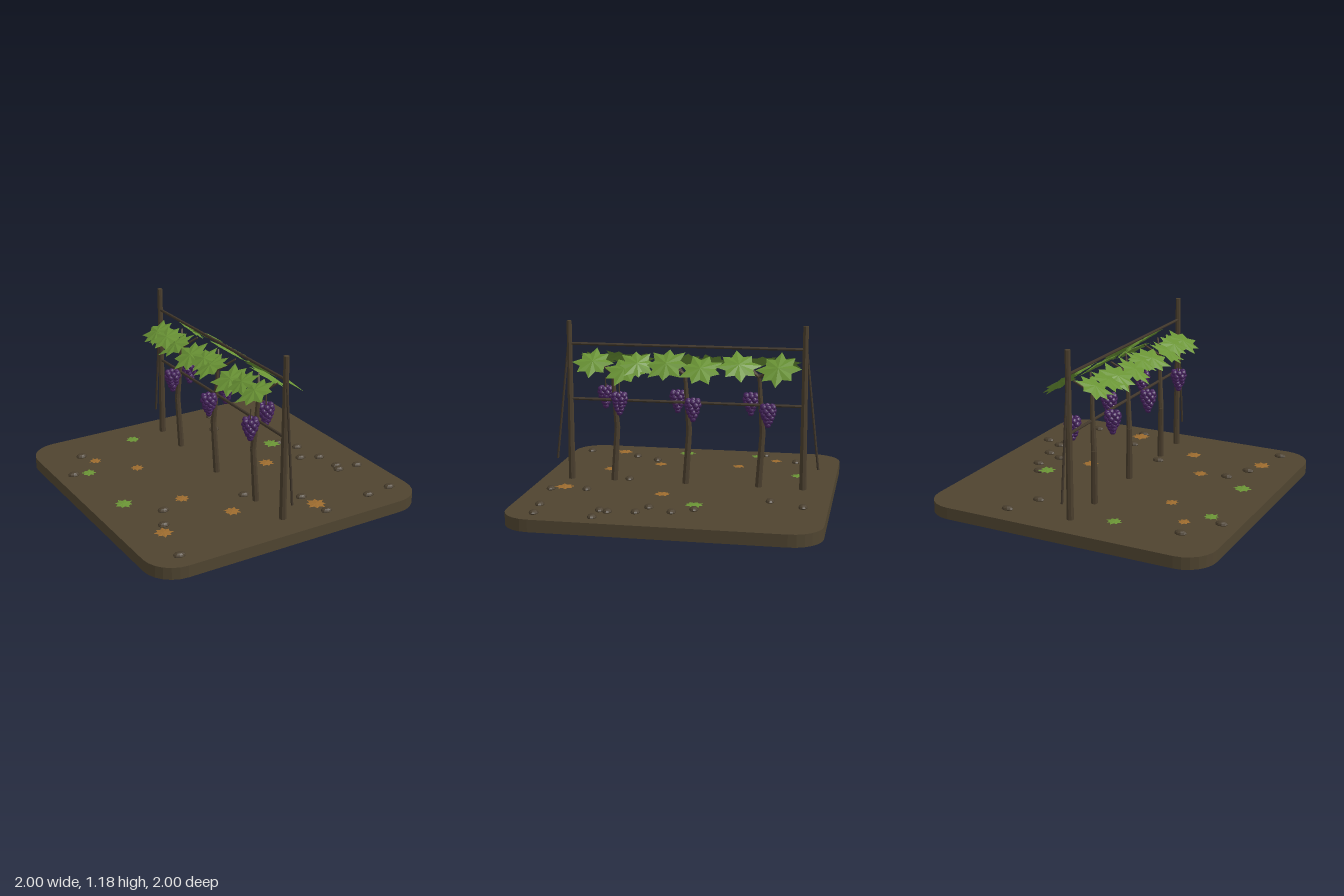
import * as THREE from 'three';

const flat = (name, color) => {
  const m = new THREE.MeshStandardMaterial({ color, flatShading: true });
  m.name = name;
  return m;
};

export function createModel() {
  const soil = flat('soil', 0x4f4430);
  const stone = flat('stone', 0x4a3f2e);
  const wood = flat('wood', 0x4a3e2d);
  const wireMat = flat('wire', 0x40362a);
  const green = flat('leafGreen', 0x6a9435);
  const amber = flat('leafAmber', 0x9c6b2e);
  const purple = flat('grapePurple', 0x45225c);
  green.side = amber.side = THREE.DoubleSide;

  const model = new THREE.Group();
  model.name = 'grapeTrellis';

  const add = (geo, mat, name, x = 0, y = 0, z = 0, parent = model) => {
    const mesh = new THREE.Mesh(geo, mat);
    mesh.name = name;
    mesh.position.set(x, y, z);
    parent.add(mesh);
    return mesh;
  };

  // straight tapered rod between two points
  const rod = (a, b, r0, r1, mat, name, parent = model) => {
    const p = new THREE.Vector3(...a), q = new THREE.Vector3(...b);
    const d = q.clone().sub(p);
    const mesh = add(new THREE.CylinderGeometry(r1, r0, d.length(), 8), mat, name, 0, 0, 0, parent);
    mesh.position.copy(p).add(q).multiplyScalar(0.5);
    mesh.quaternion.setFromUnitVectors(new THREE.Vector3(0, 1, 0), d.normalize());
    return mesh;
  };

  // ground slab with rounded corners
  const slab = new THREE.Shape();
  slab.absarc(0.8, 0.8, 0.2, 0, Math.PI / 2);
  slab.absarc(-0.8, 0.8, 0.2, Math.PI / 2, Math.PI);
  slab.absarc(-0.8, -0.8, 0.2, Math.PI, Math.PI * 1.5);
  slab.absarc(0.8, -0.8, 0.2, Math.PI * 1.5, Math.PI * 2);
  const slabGeo = new THREE.ExtrudeGeometry(slab, { depth: 0.08, bevelEnabled: false, curveSegments: 3 });
  add(slabGeo.rotateX(-Math.PI / 2), soil, 'ground');

  // end posts with leaning braces
  for (const s of [1, -1]) {
    rod([0, 0.08, s * 0.8], [0, 1.18, s * 0.8], 0.024, 0.018, wood, 'post');
    rod([0, 1.02, s * 0.81], [0, 0.22, s * 0.9], 0.008, 0.008, wireMat, 'brace');
  }

  // horizontal wires
  for (const y of [0.645, 1.025])
    rod([0, y, -0.8], [0, y, 0.8], 0.01, 0.01, wireMat, 'trellisWire');

  // vines: bent trunk and forked branches
  for (const z of [0.5, 0, -0.5]) {
    const vine = new THREE.Group();
    vine.name = 'vine';
    vine.position.z = z;
    model.add(vine);
    const path = [[-0.01, 0.08, 0], [-0.022, 0.45, -0.022], [-0.006, 0.68, -0.008], [0, 0.85, 0.002]];
    const radius = [0.023, 0.02, 0.016, 0.012];
    for (let i = 0; i < 3; i++)
      rod(path[i], path[i + 1], radius[i], radius[i + 1], wood, 'trunk', vine);
    for (const sx of [1, -1])
      for (const sz of [1, -1])
        rod([0, 0.83, 0], [sx * 0.07, 0.925, sz * 0.11], 0.01, 0.006, wood, 'branch', vine);
  }

  // star-shaped leaf: ridged fan around a raised centre
  const points = 8;
  const pos = [0, 0.12, 0], index = [];
  for (let i = 0; i < points * 2; i++) {
    const a = (i / points) * Math.PI;
    const r = i % 2 ? 0.64 : (i % 4 ? 0.92 : 1.04);
    pos.push(Math.cos(a) * r, 0, Math.sin(a) * r);
    index.push(0, ((i + 1) % (points * 2)) + 1, i + 1);
  }
  const leafGeo = new THREE.BufferGeometry();
  leafGeo.setAttribute('position', new THREE.Float32BufferAttribute(pos, 3));
  leafGeo.setIndex(index);
  leafGeo.computeVertexNormals();

  // canopy: sloping rows on both sides [x, y, z, radius]
  const canopy = [
    [0.14, 0.92, 0.6, 0.14], [0.15, 0.875, 0.38, 0.15], [0.13, 0.915, 0.3, 0.13],
    [0.14, 0.92, 0.1, 0.15], [0.15, 0.895, -0.13, 0.15], [0.14, 0.925, -0.38, 0.15],
    [0.14, 0.91, -0.64, 0.15],
    [-0.11, 0.91, 0.63, 0.14], [-0.11, 0.92, 0.48, 0.12], [-0.12, 0.9, 0.36, 0.14],
    [-0.12, 0.91, 0.11, 0.14], [-0.1, 0.92, 0, 0.12], [-0.12, 0.9, -0.15, 0.14],
    [-0.11, 0.91, -0.37, 0.14], [-0.11, 0.92, -0.5, 0.13], [-0.1, 0.915, -0.65, 0.13],
  ];
  canopy.forEach(([x, y, z, r], i) => {
    const leaf = add(leafGeo, green, 'canopyLeaf', x, y, z);
    leaf.scale.setScalar(r);
    leaf.rotation.set(0.14 * Math.sin(i * 2.3), i * 1.3, (x > 0 ? -0.62 : 0.5) + 0.07 * Math.sin(i * 1.7), 'ZXY');
  });

  // fallen leaves [x, z, radius]
  const scatter = (list, mat) => list.forEach(([x, z, r], i) => {
    const leaf = add(leafGeo, mat, 'fallenLeaf', x, 0.097, z);
    leaf.scale.set(r, r * 0.7, r);
    leaf.rotation.y = i * 1.1;
  });
  scatter([[-0.28, -0.74, 0.052], [-0.79, -0.4, 0.052], [0.55, -0.16, 0.066], [-0.79, 0.13, 0.064]], green);
  scatter([[-0.67, -0.55, 0.045], [-0.47, -0.3, 0.048], [0.34, 0.09, 0.058], [-0.43, 0.26, 0.052],
    [-0.75, 0.6, 0.063], [-0.24, 0.58, 0.058], [0.28, 0.77, 0.07]], amber);

  // grape bunches: tapering rings of berries
  const berryGeo = new THREE.IcosahedronGeometry(0.021, 1);
  const rings = [[6, 0.036], [6, 0.038], [5, 0.032], [4, 0.024], [3, 0.014], [1, 0]];
  const bunches = [
    [-0.11, 0.7, 0.58], [0.105, 0.7, 0.43], [-0.115, 0.685, 0.075],
    [0.105, 0.675, -0.07], [-0.11, 0.685, -0.43], [0.105, 0.655, -0.57],
  ];
  bunches.forEach(([x, y, z], b) => {
    const bunch = new THREE.Group();
    bunch.name = 'grapeBunch';
    bunch.position.set(x, y, z);
    model.add(bunch);
    rings.forEach(([n, r], k) => {
      for (let i = 0; i < n; i++) {
        const a = (i / n) * Math.PI * 2 + k * 0.5 + b;
        add(berryGeo, purple, 'berry', Math.cos(a) * r, -k * 0.024, Math.sin(a) * r, bunch);
      }
    });
    if (b < 2) rod([0, 0, 0], [0, 0.08, 0], 0.004, 0.004, wood, 'stem', bunch);
  });

  // flat pebbles [x, z]
  const pebbleGeo = new THREE.SphereGeometry(1, 10, 6);
  const pebbles = [
    [0.44, -0.84], [-0.71, -0.69], [0.34, -0.62], [-0.88, -0.45], [0.61, -0.17], [0.69, -0.04],
    [0.61, 0.12], [0.73, 0.18], [-0.6, 0.32], [-0.69, 0.49], [0.75, 0.355], [0.73, 0.41],
    [0.88, 0.42], [0.27, 0.62], [-0.79, 0.87], [0.3, 0.86], [0.67, 0.82], [0.86, 0.8], [-0.04, 0.4],
  ];
  for (const [x, z] of pebbles)
    add(pebbleGeo, stone, 'pebble', x, 0.085, z).scale.set(0.041, 0.02, 0.03);

  return model;
}
